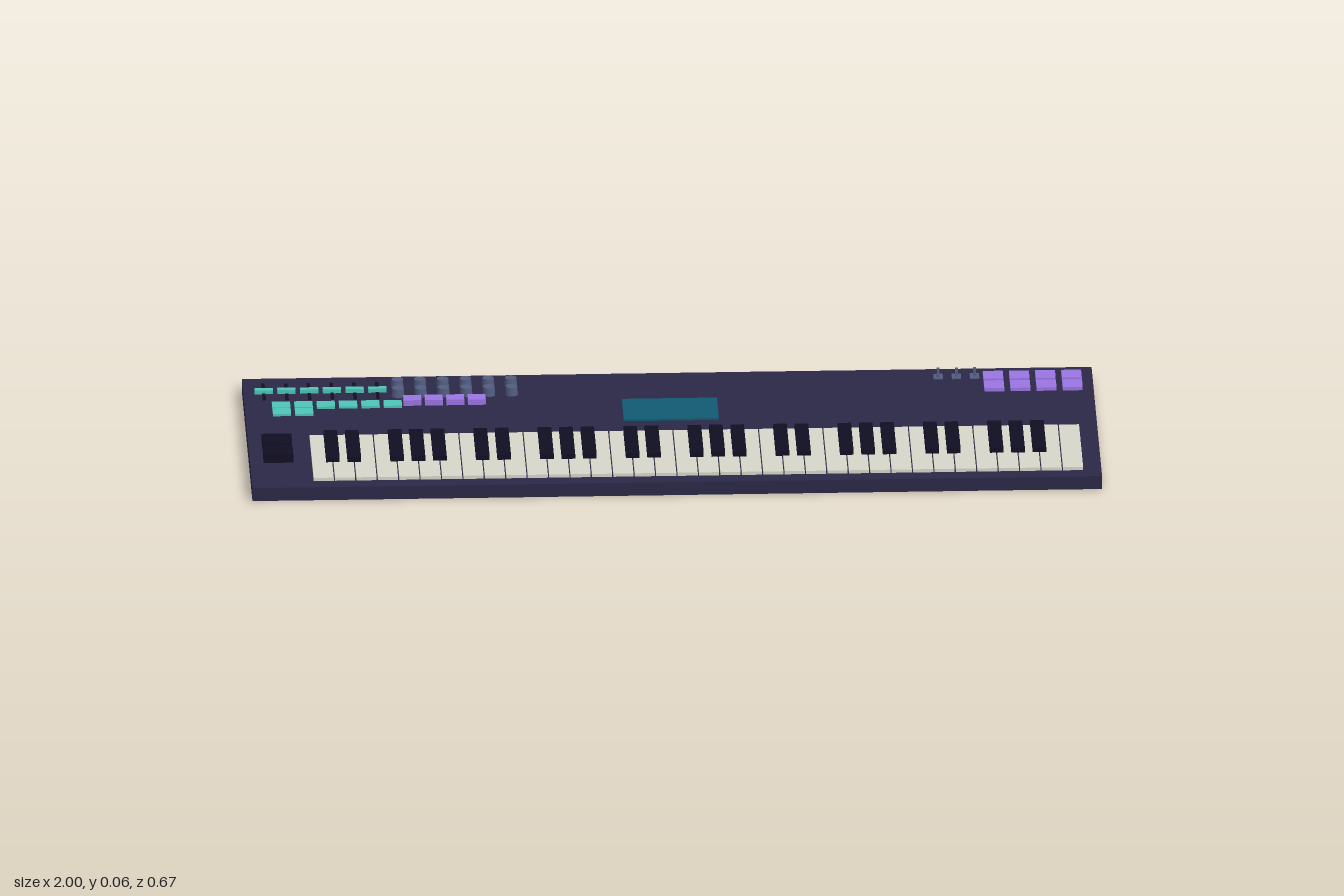
import * as THREE from 'three';

const mat = (name, color) => {
  const m = new THREE.MeshStandardMaterial({ color });
  m.name = name;
  return m;
};

export function createModel() {
  const root = new THREE.Group();
  root.name = 'keyboardSynth';

  const navy = mat('navy casing', 0x2a2846);
  const ivory = mat('ivory', 0xd6d5c9);
  const black = mat('near black', 0x100e22);
  const teal = mat('teal', 0x4cc4b6);
  const purple = mat('purple', 0x9a74e0);
  const slate = mat('slate', 0x525c80);
  const glass = mat('screen blue', 0x115a72);

  const TOP = 0.033; // top surface of the casing

  const group = (name) => {
    const g = new THREE.Group();
    g.name = name;
    root.add(g);
    return g;
  };

  // box given by its centre in x and z and its bottom and top in y
  const box = (parent, name, m, x, z, w, d, y0, y1) => {
    const mesh = new THREE.Mesh(new THREE.BoxGeometry(w, y1 - y0, d), m);
    mesh.name = name;
    mesh.position.set(x, (y0 + y1) / 2, z);
    parent.add(mesh);
    return mesh;
  };

  // casing
  box(root, 'casing', navy, 0, 0, 2, 0.667, 0, TOP);

  // keys: five octaves plus a top C
  const whites = group('whiteKeys');
  const blacks = group('blackKeys');
  const pitch = 0.0504, left = -0.856, count = 36;
  const hasSharp = [true, true, false, true, true, true, false];
  for (let i = 0; i < count; i++) {
    box(whites, 'whiteKey', ivory, left + (i + 0.5) * pitch, 0.165, pitch - 0.003, 0.261, TOP, 0.041);
    if (i < count - 1 && hasSharp[i % 7]) {
      box(blacks, 'blackKey', black, left + (i + 1) * pitch, 0.1175, 0.032, 0.167, 0.04, 0.053);
    }
  }

  // pitch and modulation wheels
  const wheels = group('wheels');
  for (const z of [0.082, 0.154]) {
    box(wheels, 'wheel', black, -0.933, z, 0.07, 0.054, TOP, 0.055);
  }

  // screen
  box(root, 'screen', glass, 0, -0.105, 0.224, 0.125, TOP, 0.038);

  // performance pads, four by two
  const pads = group('pads');
  for (const z of [-0.274, -0.216]) {
    for (let i = 0; i < 4; i++) {
      box(pads, 'pad', purple, 0.766 + i * 0.0615, z, 0.047, 0.048, TOP, 0.0415);
    }
  }

  // toggle switches
  const toggles = group('toggleSwitches');
  for (let i = 0; i < 3; i++) {
    const x = 0.637 + i * 0.0428;
    box(toggles, 'togglePlate', slate, x, -0.284, 0.022, 0.028, TOP, 0.036);
    box(toggles, 'toggleLever', slate, x, -0.281, 0.007, 0.008, 0.035, 0.057);
  }

  // sliders with their slots, and the two rows of knobs
  const sliders = group('sliders');
  const knobs = group('knobs');
  const knobShape = new THREE.CylinderGeometry(0.0135, 0.015, 0.021, 12);
  for (let i = 0; i < 6; i++) {
    const x = -0.952 + i * 0.0535;
    box(sliders, 'sliderSlot', black, x, -0.25, 0.008, 0.1, TOP, 0.0345);
    box(sliders, 'sliderCap', teal, x, -0.246, 0.043, 0.015, TOP, 0.043);
    for (const z of [-0.27, -0.217]) {
      const knob = new THREE.Mesh(knobShape, slate);
      knob.name = 'knob';
      knob.position.set(-0.637 + i * 0.0535, TOP + 0.0105, z);
      knobs.add(knob);
    }
  }

  // teal buttons: a row of six and a second row of two
  const buttons = group('buttons');
  for (let i = 0; i < 8; i++) {
    const z = i < 6 ? -0.162 : -0.121;
    box(buttons, 'tealButton', teal, -0.914 + (i % 6) * 0.0525, z, 0.043, 0.036, TOP, 0.0385);
  }
  // purple buttons
  for (let i = 0; i < 4; i++) {
    box(buttons, 'purpleButton', purple, -0.605 + i * 0.0505, -0.172, 0.042, 0.033, TOP, 0.047);
  }

  return root;
}
